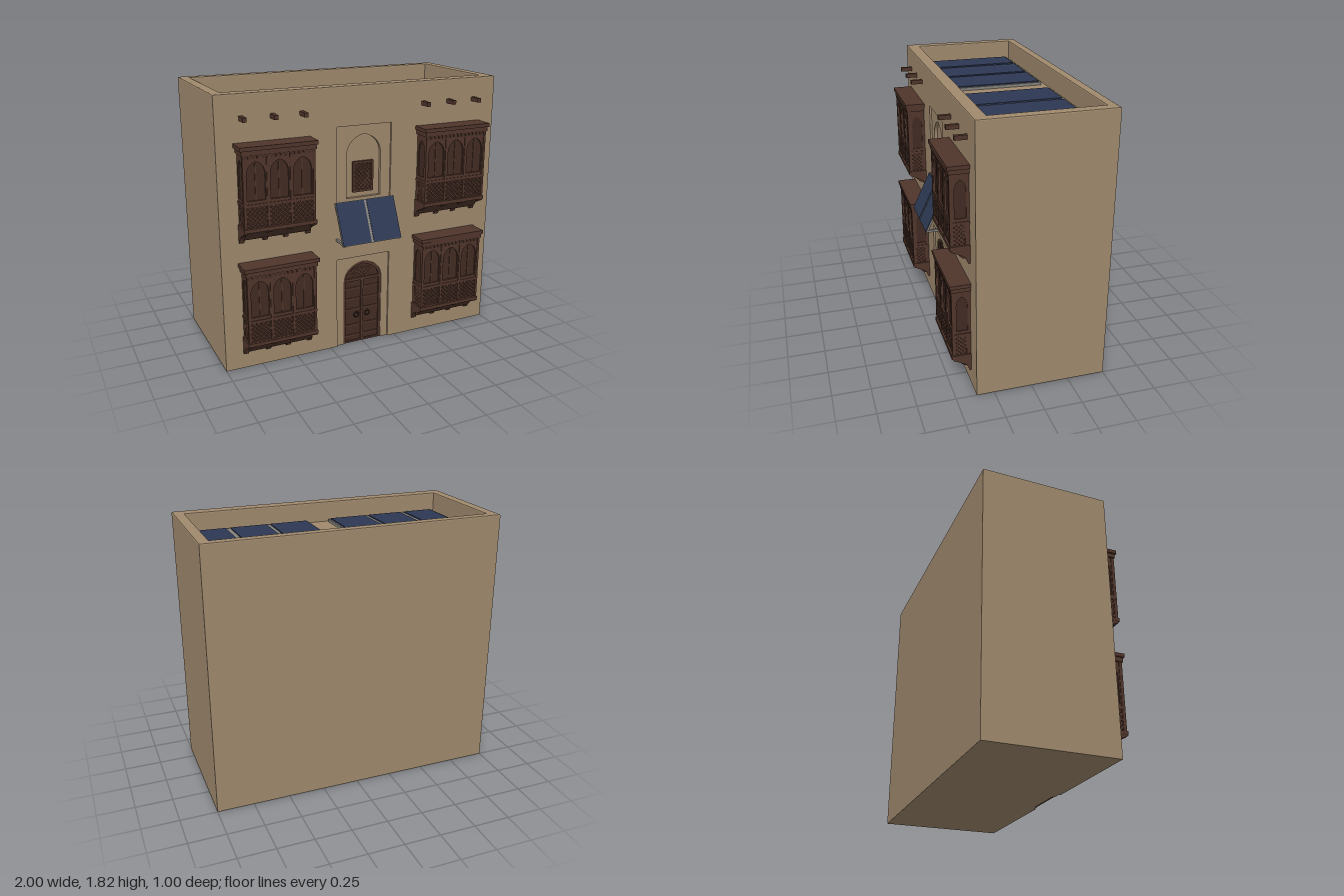
import * as THREE from 'three';
import { mergeGeometries } from 'three/addons/utils/BufferGeometryUtils.js';

const mat = (name, color) => {
  const m = new THREE.MeshStandardMaterial({ color });
  m.name = name;
  return m;
};

const WALL = 0.365; // z of the facade

export function createModel() {
  const plaster = mat('plaster', 0xa08a6e);
  const wood = mat('carved wood', 0x50352b);
  const darkWood = mat('dark wood', 0x422b23);
  const solar = mat('solar cells', 0x2d3853);
  const metal = mat('metal frame', 0x84817b);
  const iron = mat('iron', 0x2a1f1b);

  const model = new THREE.Group();
  model.name = 'courtyardHouse';

  const add = (parent, name, geo, material) => {
    const m = new THREE.Mesh(geo, material);
    m.name = name;
    parent.add(m);
    return m;
  };
  // box given by its limits
  const boxGeo = (x0, x1, y0, y1, z0, z1) =>
    new THREE.BoxGeometry(x1 - x0, y1 - y0, z1 - z0)
      .translate((x0 + x1) / 2, (y0 + y1) / 2, (z0 + z1) / 2);
  const box = (parent, name, material, ...b) => add(parent, name, boxGeo(...b), material);
  const extrude = (shape, depth, z = 0) =>
    new THREE.ExtrudeGeometry(shape, { depth, bevelEnabled: false, curveSegments: 10 }).translate(0, 0, z);

  // softly pointed arch, drawn from the lower right over to the lower left
  const arch = (p, cx, w, y0, spring, apex) => {
    const h = apex - spring;
    p.lineTo(cx + w, y0);
    p.lineTo(cx + w, spring);
    p.bezierCurveTo(cx + w, spring + h * 0.6, cx + w * 0.5, apex - h * 0.1, cx, apex);
    p.bezierCurveTo(cx - w * 0.5, apex - h * 0.1, cx - w, spring + h * 0.6, cx - w, spring);
    p.lineTo(cx - w, y0);
    return p;
  };
  const archHole = (...a) => {
    const p = new THREE.Path();
    p.moveTo(a[0] - a[1], a[2]);
    return arch(p, ...a);
  };
  const rect = (P, x0, x1, y0, y1) =>
    new P([[x0, y0], [x1, y0], [x1, y1], [x0, y1]].map(([x, y]) => new THREE.Vector2(x, y)));

  // diagonal lattice centred on the origin, clipped to w by h
  const latticeGeo = (w, h, step, bar, depth) => {
    const bars = [];
    for (let c = -w / 2 - h / 2 + step / 2; c < w / 2 + h / 2; c += step) {
      const y0 = Math.max(-h / 2, -w / 2 - c), y1 = Math.min(h / 2, w / 2 - c);
      if (y1 - y0 < 0.004) continue;
      for (const s of [1, -1]) {
        bars.push(new THREE.BoxGeometry((y1 - y0) * Math.SQRT2, bar, depth)
          .rotateZ(s * Math.PI / 4)
          .translate(s * ((y0 + y1) / 2 + c), (y0 + y1) / 2, 0));
      }
    }
    return mergeGeometries(bars);
  };

  // ---- walls: solid core plus two facade layers with stepped niches
  box(model, 'wallCore', plaster, -1, 1, 0, 1.68, -0.5, 0.33);
  const facade = (cutDoor) => {
    const s = new THREE.Shape();
    s.moveTo(1, 0);
    s.lineTo(1, 1.68);
    s.lineTo(-1, 1.68);
    s.lineTo(-1, 0);
    cutDoor(s);
    return s;
  };
  const inner = facade((s) => {
    s.lineTo(-0.145, 0);
    s.lineTo(-0.145, 0.47);
    s.bezierCurveTo(-0.145, 0.55, -0.08, 0.6, 0, 0.61);
    s.bezierCurveTo(0.08, 0.6, 0.145, 0.55, 0.145, 0.47);
    s.lineTo(0.145, 0);
  });
  inner.holes.push(archHole(0, 0.125, 1.07, 1.36, 1.5));
  add(model, 'innerFacade', extrude(inner, 0.022, 0.33), plaster);
  const outer = facade((s) => {
    s.lineTo(-0.2, 0);
    s.lineTo(-0.2, 0.65);
    s.lineTo(0.197, 0.65);
    s.lineTo(0.197, 0);
  });
  outer.holes.push(rect(THREE.Path, -0.2, 0.197, 1.05, 1.56));
  add(model, 'outerFacade', extrude(outer, 0.013, 0.352), plaster);

  // ---- parapet ring around the sunken roof, with softened top edges
  const ring = rect(THREE.Shape, -0.992, 0.992, -0.357, 0.492);
  ring.holes.push(rect(THREE.Path, -0.938, 0.938, -0.288, 0.448));
  add(model, 'parapet', new THREE.ExtrudeGeometry(ring, {
    depth: 0.132, bevelThickness: 0.008, bevelSize: 0.008, bevelSegments: 2,
  }).rotateX(-Math.PI / 2).translate(0, 1.68, 0), plaster);

  // ---- roof solar arrays
  for (const s of [-1, 1]) {
    const array = new THREE.Group();
    array.name = s < 0 ? 'rightRoofArray' : 'leftRoofArray';
    model.add(array);
    const xs = (a, b) => (s > 0 ? [a, b] : [-b, -a]);
    box(array, 'arrayFrame', metal, ...xs(0.08, 0.9), 1.67, 1.7, -0.41, 0.255);
    for (const [a, b] of [[0.092, 0.353], [0.383, 0.633], [0.668, 0.878]])
      box(array, 'roofPanel', solar, ...xs(a, b), 1.69, 1.708, -0.393, 0.24);
  }

  // ---- beam ends below the parapet
  for (const x of [-0.835, -0.635, -0.44, 0.433, 0.63, 0.83])
    box(model, 'beamEnd', wood, x - 0.013, x + 0.013, 1.657, 1.685, 0.34, 0.445);

  // ---- projecting lattice bay windows
  const sideProfile = (pts, w, x) =>
    extrude(new THREE.Shape(pts.map(([z, y]) => new THREE.Vector2(z, y))), w)
      .rotateY(-Math.PI / 2).translate(x + w / 2, 0, 0);

  const bayWindow = (cx, y) => {
    const g = new THREE.Group();
    g.name = 'bayWindow';
    g.position.set(cx, y, WALL);
    model.add(g);
    box(g, 'cornice', wood, -0.253, 0.253, 0.615, 0.64, 0, 0.135);
    box(g, 'corniceMoulding', wood, -0.243, 0.243, 0.585, 0.615, 0, 0.127);
    for (let i = 0; i < 16; i++) {
      const x = -0.225 + i * 0.03;
      box(g, 'dentil', darkWood, x - 0.008, x + 0.008, 0.565, 0.585, 0.1, 0.123);
    }
    // upper case with arched frames on the front and both sides
    box(g, 'upperCase', darkWood, -0.225, 0.225, 0.275, 0.585, 0, 0.105);
    const front = rect(THREE.Shape, -0.232, 0.232, 0.275, 0.585);
    for (const x of [-0.152, 0, 0.152]) {
      front.holes.push(archHole(x, 0.06, 0.3, 0.46, 0.545));
      box(g, 'shutterStile', wood, x - 0.004, x + 0.004, 0.3, 0.53, 0.1, 0.11);
    }
    add(g, 'archedFront', extrude(front, 0.014, 0.103), wood);
    const side = rect(THREE.Shape, 0, 0.106, 0.275, 0.585);
    side.holes.push(archHole(0.055, 0.036, 0.3, 0.47, 0.545));
    for (const s of [-1, 1])
      add(g, 'archedSide', extrude(side, 0.008).rotateY(-Math.PI / 2)
        .translate(s * 0.228 + 0.004, 0, 0), wood);
    // rails and posts
    box(g, 'middleRail', wood, -0.237, 0.237, 0.262, 0.28, 0, 0.122);
    box(g, 'bayFloor', wood, -0.242, 0.242, 0.1, 0.125, 0, 0.127);
    for (const x of [-0.228, -0.076, 0.076, 0.228])
      box(g, 'post', wood, x - 0.008, x + 0.008, 0.12, 0.585, 0.1, 0.122);
    // open lattice band
    add(g, 'frontLattice', latticeGeo(0.456, 0.137, 0.03, 0.009, 0.008).translate(0, 0.1935, 0.112), wood);
    box(g, 'latticeBacking', darkWood, -0.225, 0.225, 0.125, 0.262, 0.094, 0.1);
    for (const s of [-1, 1]) {
      add(g, 'sideLattice', latticeGeo(0.08, 0.137, 0.028, 0.012, 0.008).rotateY(Math.PI / 2)
        .translate(s * 0.228, 0.1935, 0.065), wood);
      const x = s * 0.228;
      box(g, 'sidePost', wood, x - 0.006, x + 0.006, 0.12, 0.27, 0, 0.028);
    }
    // apron and corbels underneath
    add(g, 'apron', sideProfile([[0, 0.025], [0.045, 0.03], [0.105, 0.1], [0, 0.1]], 0.44, 0), wood);
    const corbel = [[0, 0], [0.012, 0], [0.03, 0.045], [0.075, 0.07], [0.118, 0.09], [0.122, 0.112], [0, 0.112]];
    for (const x of [-0.225, -0.07, 0.07, 0.225])
      add(g, 'corbel', sideProfile(corbel, 0.032, x), wood);
  };
  for (const x of [-0.638, 0.632]) for (const y of [0.88, 0.105]) bayWindow(x, y);

  // ---- arched double door
  const door = new THREE.Group();
  door.name = 'door';
  door.position.z = 0.33;
  model.add(door);
  const leaf = new THREE.Shape();
  leaf.moveTo(-0.145, 0);
  arch(leaf, 0, 0.145, 0, 0.47, 0.61);
  add(door, 'doorBoards', extrude(leaf, 0.006), darkWood);
  const jamb = new THREE.Shape();
  jamb.moveTo(-0.145, 0);
  arch(jamb, 0, 0.145, 0, 0.47, 0.61);
  jamb.holes.push(archHole(0, 0.128, 0.012, 0.47, 0.588));
  add(door, 'doorFrame', extrude(jamb, 0.016), wood);
  box(door, 'lintel', wood, -0.13, 0.13, 0.465, 0.485, 0, 0.016);
  box(door, 'meetingStile', wood, -0.009, 0.009, 0.01, 0.467, 0, 0.016);
  for (const s of [-1, 1]) {
    for (const y of [0.05, 0.13, 0.25, 0.33, 0.41])
      box(door, 'doorBand', wood, s * 0.068 - 0.058, s * 0.068 + 0.058, y - 0.006, y + 0.006, 0, 0.011);
    add(door, 'ringKnocker', new THREE.TorusGeometry(0.018, 0.004, 6, 16).translate(s * 0.042, 0.205, 0.013), iron);
    add(door, 'knockerBoss', new THREE.SphereGeometry(0.009, 8, 6).translate(s * 0.042, 0.224, 0.012), iron);
  }
  add(door, 'fanlightLattice', latticeGeo(0.15, 0.07, 0.03, 0.007, 0.006).translate(0, 0.522, 0.009), wood);

  // ---- small lattice window in the upper niche
  box(model, 'nicheWindowBack', darkWood, -0.07, 0.07, 1.11, 1.31, 0.325, 0.336);
  const frame = rect(THREE.Shape, -0.075, 0.075, 1.105, 1.315);
  frame.holes.push(rect(THREE.Path, -0.06, 0.06, 1.12, 1.3));
  add(model, 'nicheWindowFrame', extrude(frame, 0.018, 0.33), wood);
  add(model, 'nicheLattice', latticeGeo(0.12, 0.18, 0.03, 0.009, 0.008).translate(0, 1.21, 0.34), wood);

  // ---- tilted solar awning over the door
  const awning = new THREE.Group();
  awning.name = 'solarAwning';
  awning.position.set(-0.002, 0.925, 0.436);
  awning.rotation.x = -Math.atan2(0.125, 0.262);
  model.add(awning);
  box(awning, 'awningFrame', metal, -0.217, 0.217, -0.147, 0.147, -0.008, 0.004);
  for (const s of [-1, 1])
    box(awning, 'awningPanel', solar, s * 0.111 - 0.102, s * 0.111 + 0.102, -0.143, 0.143, 0, 0.008);
  for (const x of [-0.2, 0.196])
    box(model, 'awningBracket', metal, x - 0.008, x + 0.008, 0.787, 0.803, 0.36, 0.495);
  box(model, 'awningCrossbar', metal, -0.2, 0.196, 0.787, 0.8, 0.47, 0.485);

  return model;
}
